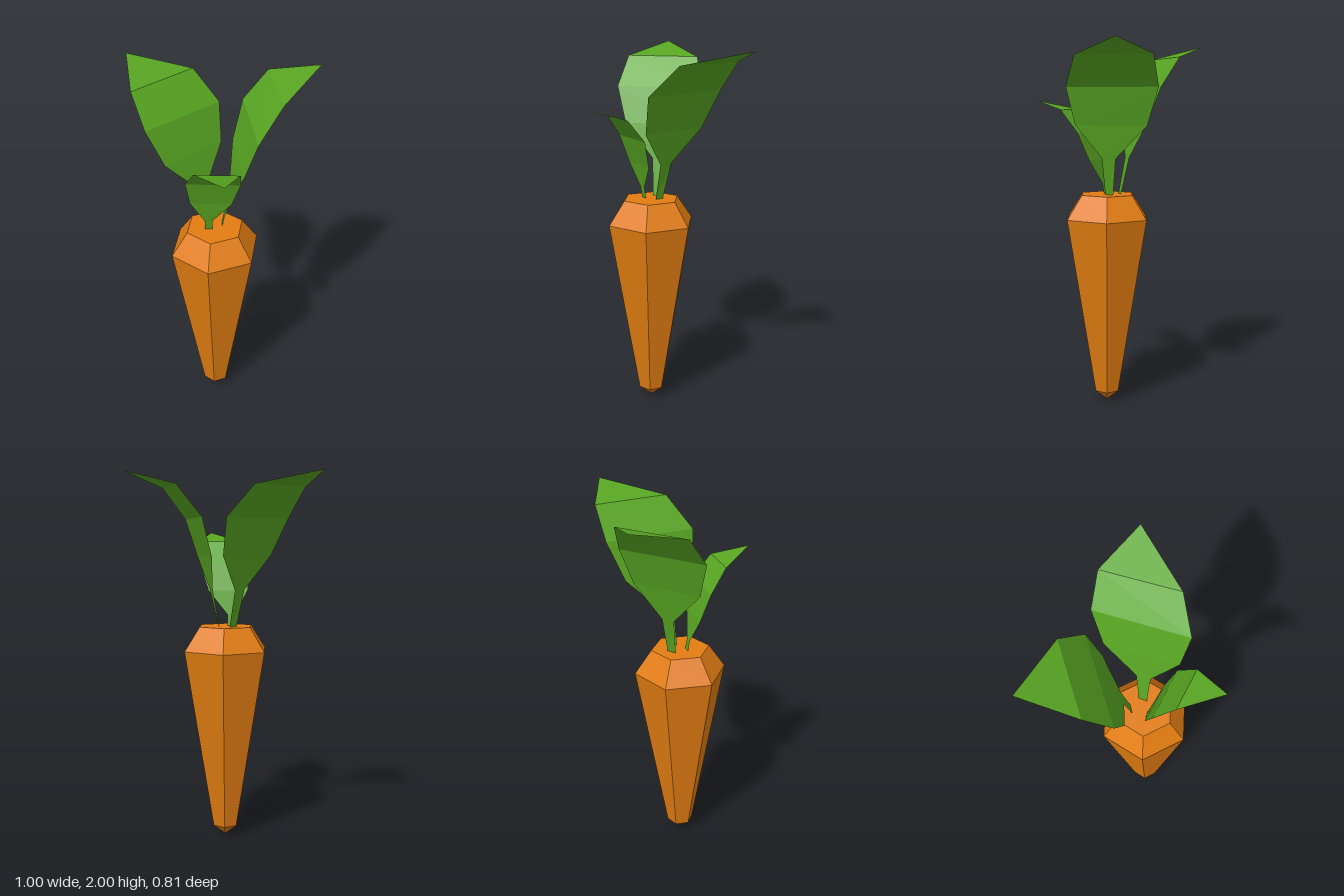
import * as THREE from 'three';

const orange = new THREE.MeshStandardMaterial({ color: 0xe27d12, flatShading: true });
orange.name = 'carrot orange';
const green = new THREE.MeshStandardMaterial({ color: 0x58a522, flatShading: true, side: THREE.DoubleSide });
green.name = 'leaf green';

// Folded leaf: rows of [y, leftX, leftZ, rightX, rightZ] from stem up, ending in a point.
function makeLeaf(name, rows, tip) {
  const positions = [];
  const index = [];
  rows.forEach(([y, lx, lz, rx, rz], i) => {
    positions.push(lx, y, lz, rx, y, rz);
    const a = i * 2;
    if (i < rows.length - 1) index.push(a, a + 1, a + 3, a, a + 3, a + 2);
    else index.push(a, a + 1, a + 2);
  });
  positions.push(...tip);
  const indexed = new THREE.BufferGeometry();
  indexed.setAttribute('position', new THREE.Float32BufferAttribute(positions, 3));
  indexed.setIndex(index);
  const geometry = indexed.toNonIndexed();
  geometry.computeVertexNormals();
  const mesh = new THREE.Mesh(geometry, green);
  mesh.name = name;
  return mesh;
}

export function createModel() {
  const model = new THREE.Group();
  model.name = 'carrot';

  // Six-sided tapering root with bevelled shoulder and pointed end
  const profile = [[0, 0.005], [0.073, 0.065], [0.248, 1.06], [0.158, 1.19], [0, 1.19]]
    .map(([r, y]) => new THREE.Vector2(r, y));
  const root = new THREE.Mesh(new THREE.LatheGeometry(profile, 6, -0.15), orange);
  root.position.x = -0.047;
  root.name = 'root';
  model.add(root);

  // Three leaves fanning outward from the crown
  model.add(
    makeLeaf('frontLeaf', [
      [1.18, -0.10, 0.022, -0.06, 0.022],
      [1.25, -0.10, 0.035, -0.06, 0.035],
      [1.38, -0.175, 0.06, 0.042, 0.07],
      [1.53, -0.195, 0.11, 0.085, 0.12],
      [1.65, -0.15, 0.21, 0.08, 0.22],
    ], [0, 1.70, 0.405]),
    makeLeaf('leftLeaf', [
      [1.18, -0.01, -0.005, -0.01, -0.05],
      [1.39, 0.04, -0.005, 0.03, -0.08],
      [1.57, 0.10, 0.125, 0.05, -0.265],
      [1.77, 0.165, 0.15, 0.105, -0.345],
      [1.93, 0.29, 0.045, 0.235, -0.36],
    ], [0.497, 2.0, -0.26]),
    makeLeaf('rightLeaf', [
      [1.18, -0.06, -0.075, -0.10, -0.045],
      [1.39, -0.085, -0.115, -0.14, -0.07],
      [1.575, -0.01, -0.24, -0.297, 0.01],
      [1.77, -0.02, -0.315, -0.388, 0.005],
      [1.93, -0.155, -0.375, -0.457, -0.11],
    ], [-0.5, 2.0, -0.41]),
  );
  return model;
}
